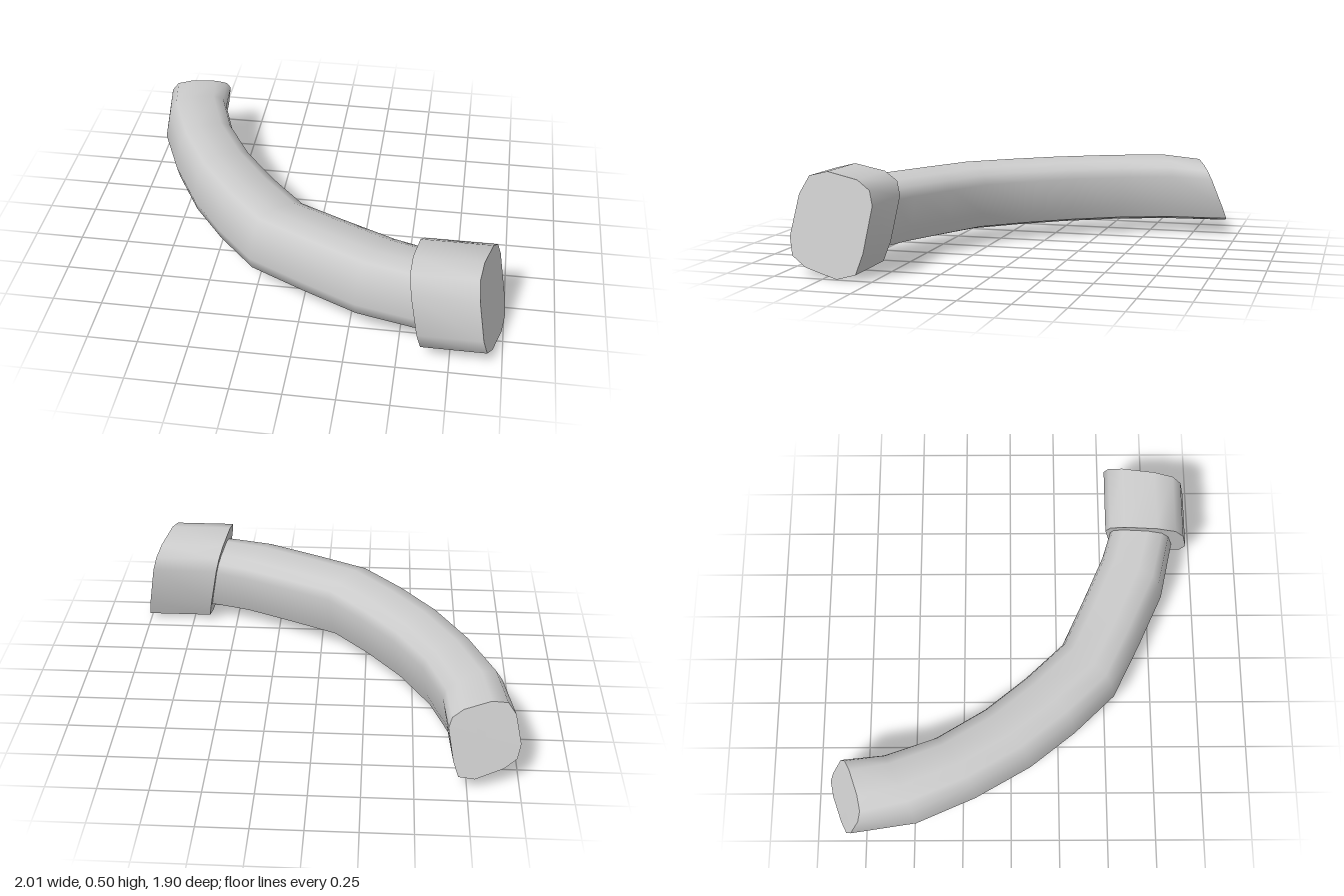
import * as THREE from 'three';
import { toCreasedNormals } from 'three/addons/utils/BufferGeometryUtils.js';

// Twelve-sided rounded square, slightly twisted: [outward, up] in the range -1..1
const PROFILE = [
  [1, -0.28], [0.83, 0.54], [0.6, 0.9], [0.15, 1], [-0.6, 0.88], [-0.91, 0.7],
  [-1, 0.42], [-0.84, -0.48], [-0.69, -0.88], [-0.24, -1], [0.55, -0.84], [0.91, -0.64],
];

// Skin a row of equal rings and close both ends with a fan
function loft(name, rings, material) {
  const n = rings[0].length;
  const positions = rings.flat().flatMap((p) => p.toArray());
  const index = [];
  for (let i = 0; i < rings.length - 1; i++) {
    for (let j = 0; j < n; j++) {
      const k = (j + 1) % n;
      const a = i * n + j, b = i * n + k, c = a + n, d = b + n;
      index.push(a, c, b, b, c, d);
    }
  }
  [0, rings.length - 1].forEach((r, end) => {
    const centre = new THREE.Vector3();
    rings[r].forEach((p) => centre.addScaledVector(p, 1 / n));
    const m = positions.length / 3;
    positions.push(...centre.toArray());
    for (let j = 0; j < n; j++) {
      const a = r * n + j, b = r * n + ((j + 1) % n);
      if (end) index.push(m, b, a);
      else index.push(m, a, b);
    }
  });
  const geometry = new THREE.BufferGeometry();
  geometry.setAttribute('position', new THREE.Float32BufferAttribute(positions, 3));
  geometry.setIndex(index);
  const mesh = new THREE.Mesh(toCreasedNormals(geometry, 0.9), material);
  mesh.name = name;
  return mesh;
}

export function createModel() {
  const group = new THREE.Group();
  group.name = 'curvedHandle';
  const material = new THREE.MeshStandardMaterial({ color: 0xcccccc });

  // Bent bar: outer x, z and inner x, z of each cross-section
  const sections = [
    [-1.0, -0.79, -0.65, -0.89],
    [-0.95, -0.48, -0.63, -0.64],
    [-0.82, -0.18, -0.54, -0.38],
    [-0.66, 0.1, -0.39, -0.13],
    [-0.48, 0.33, -0.22, 0.08],
    [-0.28, 0.54, -0.04, 0.27],
    [0.0, 0.68, 0.2, 0.38],
    [0.28, 0.81, 0.45, 0.49],
    [0.57, 0.875, 0.61, 0.54],
    [0.72, 0.9, 0.74, 0.56],
  ];
  const barRings = sections.map(([ox, oz, ix, iz], s) => PROFILE.map(([u, v]) => {
    const t = (u + 1) / 2;
    const p = new THREE.Vector3(ix + (ox - ix) * t, 0.25 + 0.18 * v, iz + (oz - iz) * t);
    if (s === 0) {
      // The free end is cut at a slant, longest at the bottom
      p.z += 0.4 * (p.y - 0.25);
      if (v > 0) p.y -= 0.025 * v;
    }
    return p;
  }));
  group.add(loft('curvedBar', barRings, material));

  // Thicker collar, with both ends slanted
  const collarRings = [[0.6, 0.1], [0.935, 0.19]].map(([x, slant]) => PROFILE.map(([u, v]) => {
    const z = 0.735 + 0.225 * u, y = 0.248 + 0.248 * v;
    return new THREE.Vector3(x - 0.2 * (y - 0.25) - slant * (z - 0.72), y, z);
  }));
  group.add(loft('endCollar', collarRings, material));

  return group;
}
